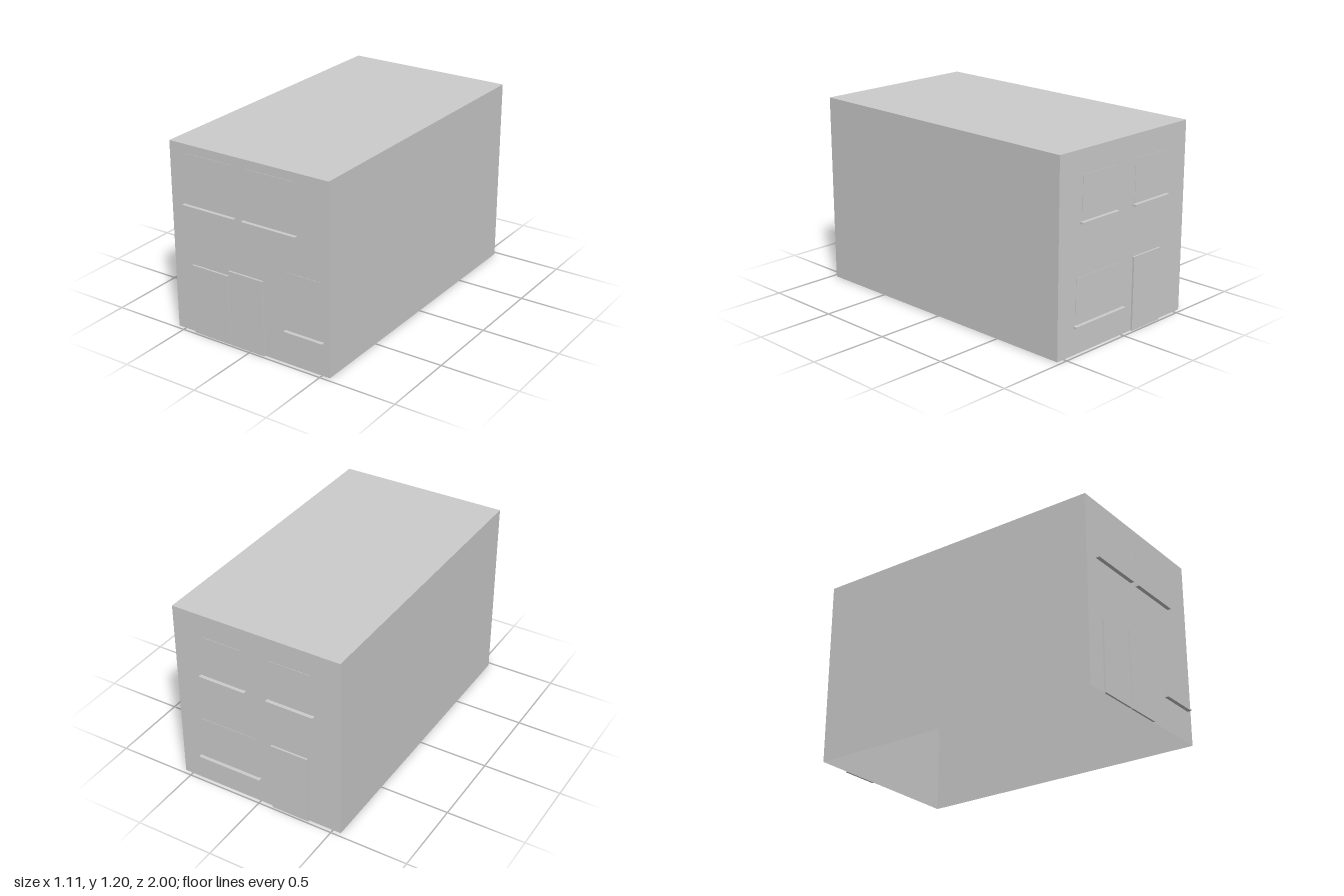
import * as THREE from 'three';

const WALL_Z = 0.975;   // outer face of front and back walls
const W = 1.106, H = 1.2;

const material = new THREE.MeshStandardMaterial({ color: 0xcccccc, side: THREE.DoubleSide, flatShading: true });

// Panel on a wall: x and y ranges, standing out by depth; side is +1 front, -1 back
function panel(name, side, x0, x1, y0, y1, depth) {
  const mesh = new THREE.Mesh(new THREE.BoxGeometry(x1 - x0, y1 - y0, depth), material);
  mesh.position.set((x0 + x1) / 2, (y0 + y1) / 2, side * (WALL_Z + depth / 2));
  mesh.name = name;
  return mesh;
}

// Window pane almost flush with the wall, with a wider sill below it
function windowUnit(name, side, x0, x1, y0, y1) {
  const group = new THREE.Group();
  group.name = name;
  group.add(panel('pane', side, x0, x1, y0, y1, 0.002));
  group.add(panel('sill', side, x0 - 0.019, x1 + 0.019, y0 - 0.011, y0, 0.025));
  return group;
}

export function createModel() {
  const house = new THREE.Group();
  house.name = 'house';

  // Hollow shell: four walls and a flat roof, open underneath
  const shell = new THREE.BoxGeometry(W, H, WALL_Z * 2);
  const index = Array.from(shell.index.array);
  index.splice(18, 6); // drop the floor face
  shell.setIndex(index);
  shell.clearGroups();
  const walls = new THREE.Mesh(shell, material);
  walls.position.y = H / 2;
  walls.name = 'wallsAndRoof';
  house.add(walls);

  // Front windows and doors
  house.add(
    windowUnit('frontUpperRightWindow', 1, -0.44, -0.105, 0.829, 1.145),
    windowUnit('frontUpperLeftWindow', 1, -0.013, 0.322, 0.829, 1.145),
    windowUnit('frontLowerWindow', 1, 0.269, 0.499, 0.218, 0.586),
    panel('garageDoor', 1, -0.417, -0.154, 0, 0.449, 0.012),
    panel('frontDoor', 1, -0.145, 0.098, 0, 0.484, 0.012)
  );

  // Back windows and door
  house.add(
    windowUnit('backUpperLeftWindow', -1, 0.088, 0.362, 0.786, 1.054),
    windowUnit('backUpperRightWindow', -1, -0.368, -0.093, 0.786, 1.054),
    windowUnit('backLowerWindow', -1, 0.009, 0.405, 0.178, 0.46),
    panel('backDoor', -1, -0.337, -0.09, 0, 0.463, 0.012)
  );

  return house;
}
